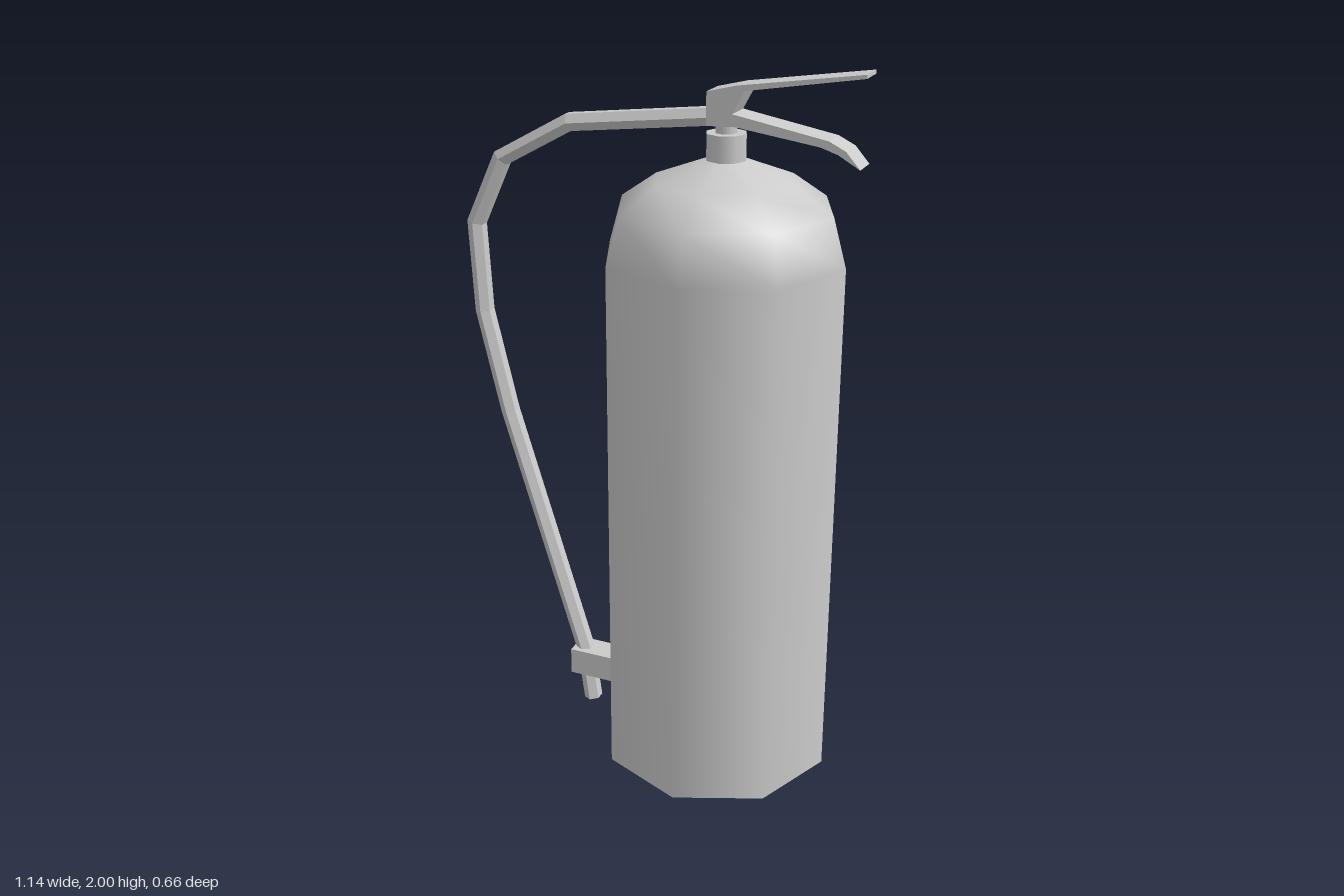
import * as THREE from 'three';

const AXIS = 0.196; // x of the cylinder's axis

export function createModel() {
  const group = new THREE.Group();
  const smooth = new THREE.MeshStandardMaterial({ color: 0xcccccc });
  const flat = new THREE.MeshStandardMaterial({ color: 0xcccccc, flatShading: true });

  const add = (name, geometry, material, x = 0, y = 0, z = 0) => {
    const mesh = new THREE.Mesh(geometry, material);
    mesh.name = name;
    mesh.position.set(x, y, z);
    group.add(mesh);
  };

  // Eight-sided tank with a domed shoulder, closed by a flat base
  const profile = [[0.332, 0], [0.332, 1.5], [0.295, 1.63], [0.195, 1.7], [0.05, 1.755], [0, 1.76]]
    .map(([r, y]) => new THREE.Vector2(r, y));
  add('tank', new THREE.LatheGeometry(profile, 8), smooth, AXIS);
  add('tankBase', new THREE.CircleGeometry(0.332, 8).rotateX(Math.PI / 2), flat, AXIS);

  // Neck collar and valve stem
  add('neckCollar', new THREE.CylinderGeometry(0.055, 0.055, 0.075, 8), smooth, AXIS, 1.785);
  add('valveStem', new THREE.CylinderGeometry(0.03, 0.03, 0.05, 8), smooth, AXIS, 1.84);

  // Valve body with upper handle and curved lower lever, cut from one plate
  const outline = [
    [0.155, 1.843], [0.235, 1.846], [0.458, 1.815], [0.505, 1.8], [0.563, 1.767],
    [0.525, 1.81], [0.48, 1.832], [0.225, 1.878], [0.257, 1.938],
    [0.568, 1.99], [0.568, 2], [0.235, 1.95], [0.155, 1.93],
  ].map(([x, y]) => new THREE.Vector2(x, y));
  const plate = new THREE.ExtrudeGeometry(new THREE.Shape(outline), { depth: 0.08, bevelEnabled: false });
  add('valveHandle', plate, flat, 0, 0, -0.04);

  // Hose and its holder on the tank side
  const path = [
    [0.17, 1.863], [-0.25, 1.813], [-0.458, 1.698], [-0.547, 1.508],
    [-0.534, 1.25], [-0.463, 0.95], [-0.232, 0.2], [-0.21, 0.037],
  ].map(([x, y]) => new THREE.Vector2(x, y));
  add('hose', hoseGeometry(path, 0.023, 0.028), flat);
  add('hoseHolder', new THREE.BoxGeometry(0.14, 0.08, 0.08), flat, -0.194, 0.17, 0);

  return group;
}

// Six-sided tube along a planar path, mitred at each bend and capped
function hoseGeometry(path, halfWidth, radiusZ) {
  const sides = 6, last = path.length - 1, end = last * sides;
  const positions = [], index = [];
  path.forEach((p, i) => {
    const before = p.clone().sub(path[Math.max(i - 1, 0)]).normalize();
    const after = path[Math.min(i + 1, last)].clone().sub(p).normalize();
    const dir = before.clone().add(after).normalize();
    const miter = 1 / dir.dot(i < last ? after : before);
    const w = halfWidth / Math.cos(Math.PI / 6) * miter;
    for (let k = 0; k < sides; k++) {
      const a = k / sides * Math.PI * 2;
      const s = Math.sin(a) * w;
      positions.push(p.x - dir.y * s, p.y + dir.x * s, Math.cos(a) * radiusZ);
    }
  });
  // Side walls
  for (let i = 0; i < last; i++) {
    for (let k = 0; k < sides; k++) {
      const a = i * sides + k, b = i * sides + (k + 1) % sides;
      index.push(a, a + sides, b, b, a + sides, b + sides);
    }
  }
  // End caps
  for (let k = 1; k < sides - 1; k++) index.push(0, k, k + 1, end, end + k + 1, end + k);

  const geometry = new THREE.BufferGeometry();
  geometry.setAttribute('position', new THREE.Float32BufferAttribute(positions, 3));
  geometry.setIndex(index);
  geometry.computeVertexNormals();
  return geometry;
}
